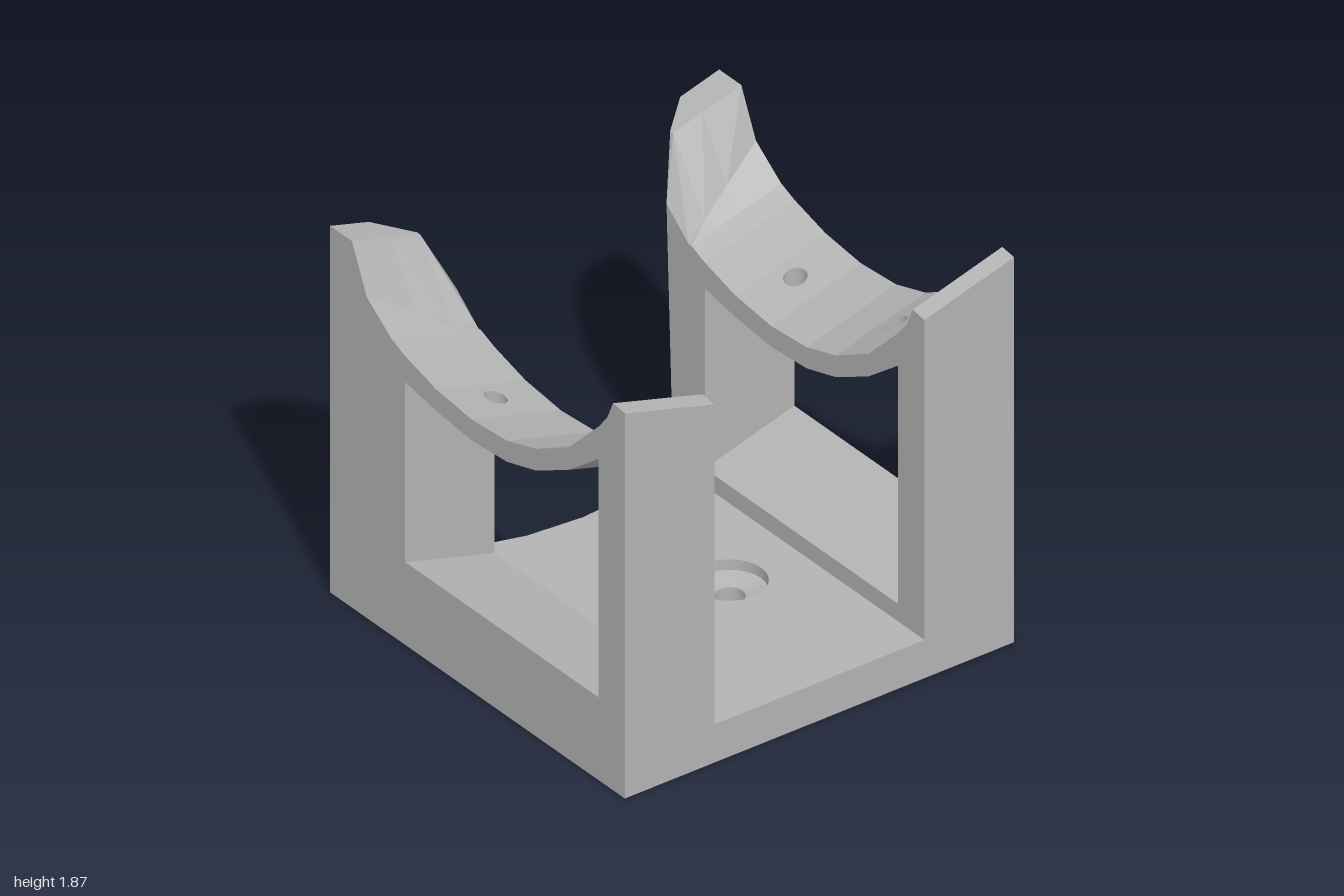
import * as THREE from 'three';

const BASE_H = 0.185, INNER = 0.54, R = 1.45;
const STATIONS = [INNER, 0.65, 0.8, 1];        // x of the wall's cross-sections
const BACK_LIMIT = [0.75, 0.87, 1, 1];         // how far back the wall top reaches there

// Saddle profiles [z, y] along the outer side
const TOP = [[-0.58, 1.43], [-0.4, 1.36], [-0.2, 1.325], [0, 1.31], [0.2, 1.33],
  [0.4, 1.39], [0.6, 1.49], [0.75, 1.62], [0.88, 1.78]];
const UNDER = [[-0.49, 1.27], [-0.22, 1.225], [0, 1.21], [0.22, 1.23],
  [0.45, 1.3], [0.64, 1.41], [0.82, 1.55]];

function sample(profile, z) {
  let i = 0;
  while (i < profile.length - 2 && z > profile[i + 1][0]) i++;
  const [z0, y0] = profile[i], [z1, y1] = profile[i + 1];
  return y0 + (y1 - y0) * (z - z0) / (z1 - z0);
}
const backArc = x => -(0.6 + R - Math.sqrt(R * R - x * x));
const tilt = x => 0.283 * (x - 1);             // saddles fall towards the middle

function shapeOf(points) {
  return new THREE.Shape(points.map(([x, y]) => new THREE.Vector2(x, y)));
}
function circle(x, y, r) {
  return new THREE.Path().absarc(x, y, r, 0, Math.PI * 2, true);
}

// Move every vertex by a rule, then renew the flat normals
function remap(geometry, rule) {
  const p = geometry.attributes.position;
  for (let i = 0; i < p.count; i++) p.setXYZ(i, ...rule(p.getX(i), p.getY(i), p.getZ(i)));
  geometry.computeVertexNormals();
  return geometry;
}

// Mirror in x and turn the triangles round
function mirrored(geometry) {
  const g = geometry.clone(), p = g.attributes.position;
  const v = i => [-p.getX(i), p.getY(i), p.getZ(i)];
  for (let i = 0; i < p.count; i += 3) {
    const a = v(i), b = v(i + 1), c = v(i + 2);
    p.setXYZ(i, ...a);
    p.setXYZ(i + 1, ...c);
    p.setXYZ(i + 2, ...b);
  }
  g.computeVertexNormals();
  return g;
}

// Front post, sill and back post in one U-shaped piece
function postsGeometry() {
  const outline = [[1, BASE_H], [1, 1.86], [0.92, 1.87], [0.88, 1.78], [0.82, sample(TOP, 0.82)],
    [0.82, 0.4], [-0.49, 0.4], [-0.49, sample(TOP, -0.49)], [-0.58, 1.43],
    [-0.75, 1.55], [-0.85, 1.77], [-1, 1.77], [-1, BASE_H]];
  const g = new THREE.ExtrudeGeometry(shapeOf(outline.map(([z, y]) => [-z, y])),
    { depth: 1, steps: 3, bevelEnabled: false });
  g.rotateY(Math.PI / 2);
  return remap(g, (w, y, z) => {
    const k = Math.round(w * 3), x = STATIONS[k];
    if (y < 0.3) return [x, y, Math.max(z, backArc(x))];
    if (z < -0.8) {
      // back horn trimmed by the rear cut
      z = Math.max(z, -BACK_LIMIT[k]);
      y = Math.min(y, 1.55 + 2.2 * (BACK_LIMIT[k] - 0.75));
    } else if (z < -0.7) {
      const t = (x - INNER) / (1 - INNER);
      z = -0.6 - 0.15 * t;
      y = 1.43 + 0.12 * t;
    }
    return [x, y + tilt(x), z];
  });
}

// One flat piece of the curved bridge, drilled where a hole falls in it
function bridgeGeometry(z0, z1) {
  const s = shapeOf([[INNER, -z0], [INNER, -z1], [1, -z1], [1, -z0]]);
  for (const z of [-0.18, 0.5]) {
    if (z > z0 && z < z1) s.holes.push(circle(0.77, -z, 0.05));
  }
  const g = new THREE.ExtrudeGeometry(s, { depth: 1, bevelEnabled: false, curveSegments: 20 });
  g.rotateX(-Math.PI / 2);
  const line = (f, z) => f(z0) + (f(z1) - f(z0)) * (z - z0) / (z1 - z0);
  return remap(g, (x, t, z) => {
    const low = line(q => sample(UNDER, q), z), high = line(q => sample(TOP, q), z);
    return [x, low + (high - low) * t + tilt(x), z];
  });
}

export function createModel() {
  const model = new THREE.Group();
  model.name = 'cradleStand';
  const grey = new THREE.MeshStandardMaterial({ color: 0xb3b3b3, flatShading: true });
  grey.name = 'grey';
  const add = (parent, name, geometry) => {
    const mesh = new THREE.Mesh(geometry, grey);
    mesh.name = name;
    parent.add(mesh);
    return mesh;
  };

  // Base plate with a hollowed back edge
  const plate = [[-1, -1], [1, -1]];
  for (const x of [1, 0.8, 0.54, 0.27, 0, -0.27, -0.54, -0.8, -1]) plate.push([x, -backArc(x)]);
  const base = shapeOf(plate);
  for (const x of [-0.183, 0.183]) base.holes.push(circle(x, -0.15, 0.16));
  const baseGeometry = new THREE.ExtrudeGeometry(base,
    { depth: BASE_H, bevelEnabled: false, curveSegments: 32 });
  baseGeometry.rotateX(-Math.PI / 2);
  add(model, 'basePlate', baseGeometry);

  // Countersunk screw seats
  const seat = [[0.065, 0], [0.16, 0], [0.16, 0.135], [0.065, 0.11], [0.065, 0]];
  const seatGeometry = new THREE.LatheGeometry(seat.map(([r, y]) => new THREE.Vector2(r, y)), 32);
  for (const x of [-0.183, 0.183]) add(model, 'screwSeat', seatGeometry).position.set(x, 0, 0.15);

  // Side walls with their saddle bridges
  const breaks = [-0.49, -0.28, -0.04, 0.2, 0.4, 0.62, 0.82];
  const posts = postsGeometry();
  const bridges = breaks.slice(1).map((z, i) => bridgeGeometry(breaks[i], z));
  for (const side of ['left', 'right']) {
    const wall = new THREE.Group();
    wall.name = side + 'Wall';
    const fit = g => (side === 'left' ? g : mirrored(g));
    add(wall, side + 'Posts', fit(posts));
    for (const b of bridges) add(wall, side + 'SaddleBridge', fit(b));
    model.add(wall);
  }
  return model;
}
